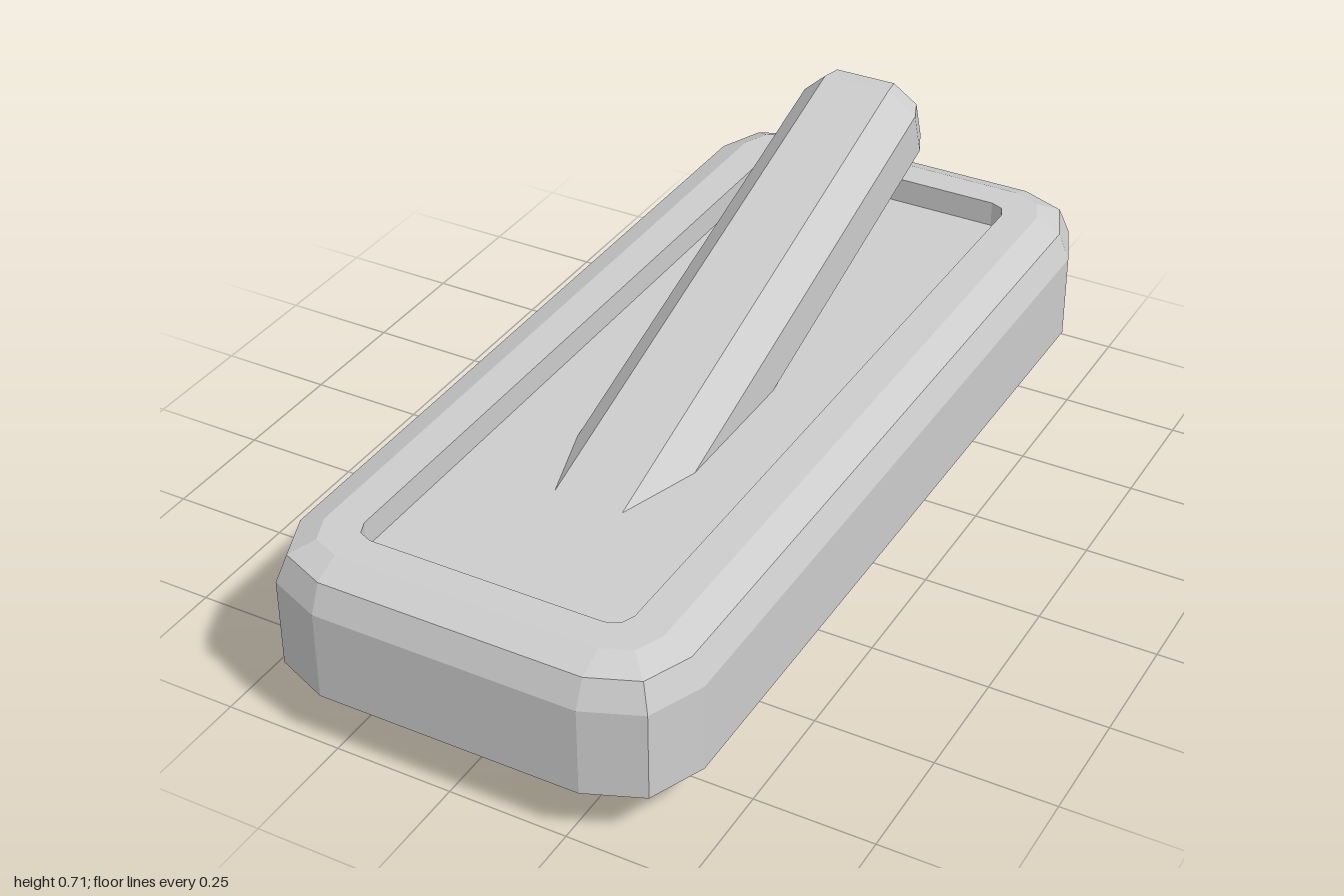
import * as THREE from 'three';

// Rectangle ring with cut corners at height y: corner centres (cx, cz), corner radius r, n facets per corner.
// Runs counterclockwise seen from above.
function ring(cx, cz, r, y, n) {
  const pts = [];
  const signs = [[1, 1], [1, -1], [-1, -1], [-1, 1]];
  signs.forEach(([sx, sz], q) => {
    for (let i = 0; i <= n; i++) {
      const a = Math.PI / 2 - (q + i / n) * (Math.PI / 2);
      // angle measured from +x towards +z
      pts.push(new THREE.Vector3(sx * cx + r * Math.cos(a), y, sz * cz + r * Math.sin(a)));
    }
  });
  return pts;
}

// Closed, faceted loft through rings of equal point count, capped at both ends.
function loft(rings) {
  const pos = [];
  const tri = (...v) => v.forEach((p) => pos.push(p.x, p.y, p.z));
  const n = rings[0].length;
  for (let i = 0; i < rings.length - 1; i++) {
    for (let j = 0; j < n; j++) {
      const k = (j + 1) % n;
      const [a, b, c, d] = [rings[i][j], rings[i][k], rings[i + 1][k], rings[i + 1][j]];
      tri(a, b, c);
      tri(a, c, d);
    }
  }
  const first = rings[0], last = rings[rings.length - 1];
  for (let j = 1; j < n - 1; j++) {
    tri(first[0], first[j + 1], first[j]);
    tri(last[0], last[j], last[j + 1]);
  }
  const geo = new THREE.BufferGeometry();
  geo.setAttribute('position', new THREE.Float32BufferAttribute(pos, 3));
  geo.computeVertexNormals();
  return geo;
}

export function createModel() {
  const group = new THREE.Group();
  group.name = 'leverSwitch';
  const grey = new THREE.MeshStandardMaterial({ color: 0xcccccc, flatShading: true });
  grey.name = 'light grey';

  // Base plate: bevelled rim stepping down into a shallow recess
  const base = new THREE.Mesh(loft([
    ring(0.28, 0.83, 0.165, 0.118, 2),
    ring(0.28, 0.83, 0.165, 0.308, 2),
    ring(0.28, 0.83, 0.14, 0.366, 2),
    ring(0.28, 0.83, 0.083, 0.39, 2),
    ring(0.25, 0.805, 0.04, 0.39, 2),
    ring(0.25, 0.805, 0.04, 0.333, 2),
  ]), grey);
  base.name = 'basePlate';
  // Stretch the corner radius to the full length of 2
  base.scale.z = 1 / 0.995;
  group.add(base);

  // Octagonal lever, chamfered at the raised end, tilted back through the base
  const lever = new THREE.Mesh(loft([
    ring(0.075, 0.052, 0.0575, 0, 1),
    ring(0.075, 0.052, 0.0575, 1.592, 1),
    ring(0.068, 0.045, 0.048, 1.633, 1),
  ]), grey);
  lever.name = 'lever';
  lever.rotation.x = -1.249;
  lever.position.set(0, 0.106, 0.821);
  group.add(lever);

  return group;
}
